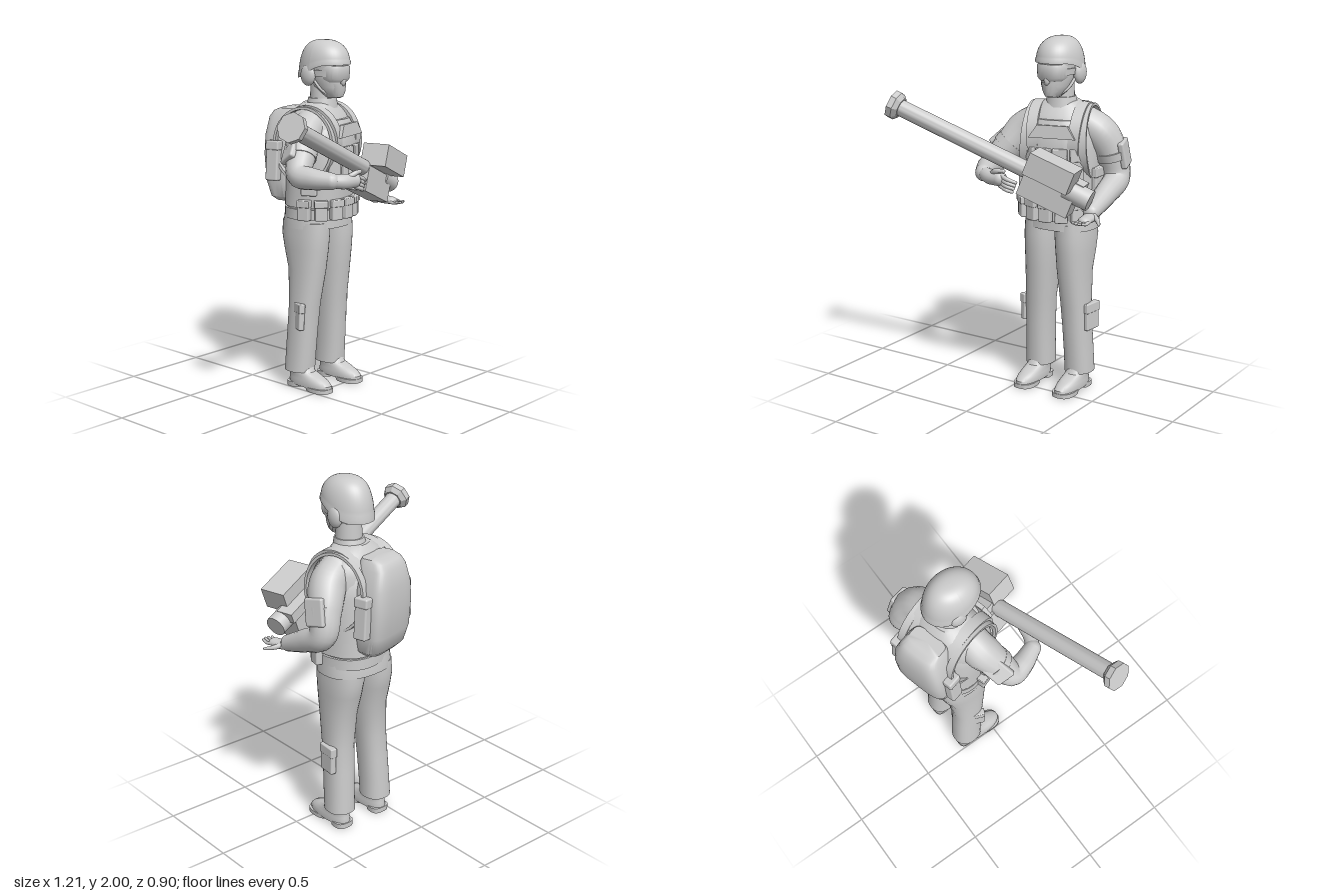
import * as THREE from 'three';
import { mergeGeometries, toCreasedNormals } from 'three/addons/utils/BufferGeometryUtils.js';
import { RoundedBoxGeometry } from 'three/addons/geometries/RoundedBoxGeometry.js';

const mat = new THREE.MeshStandardMaterial({ color: 0xcccccc, side: THREE.DoubleSide });
const V = (a) => new THREE.Vector3(...a);

function add(parent, name, geo, pos = [0, 0, 0], rot = [0, 0, 0]) {
  const m = new THREE.Mesh(geo, mat);
  m.name = name;
  m.position.set(...pos);
  m.rotation.set(...rot);
  parent.add(m);
  return m;
}

// Stack of horizontal superellipse rings [y, cx, cz, rx, rz], capped at both ends
function loft(rings, p = 2, n = 32) {
  const pos = [], idx = [];
  const pow = (v) => Math.sign(v) * Math.abs(v) ** (2 / p);
  for (const [y, cx, cz, rx, rz] of rings)
    for (let j = 0; j < n; j++) {
      const a = (j / n) * Math.PI * 2;
      pos.push(cx + rx * pow(Math.cos(a)), y, cz + rz * pow(Math.sin(a)));
    }
  const last = rings.length - 1, bottom = rings.length * n, top = bottom + 1;
  for (const [y, cx, cz] of [rings[0], rings[last]]) pos.push(cx, y, cz);
  for (let j = 0; j < n; j++) {
    const k = (j + 1) % n;
    for (let i = 0; i < last; i++) {
      const a = i * n + j, b = i * n + k, c = a + n, d = b + n;
      idx.push(a, c, b, c, d, b);
    }
    idx.push(bottom, j, k, top, last * n + k, last * n + j);
  }
  const g = new THREE.BufferGeometry();
  g.setAttribute('position', new THREE.Float32BufferAttribute(pos, 3));
  g.setIndex(idx);
  return toCreasedNormals(g, 0.7);
}

// Tapered tube through points, with round ends
function limb(points, radii, seg = 28, sides = 16) {
  const curve = new THREE.CatmullRomCurve3(points.map(V));
  const tube = new THREE.TubeGeometry(curve, seg, 1, sides);
  const at = tube.attributes.position, v = new THREE.Vector3();
  for (let i = 0; i <= seg; i++) {
    const c = curve.getPointAt(i / seg), f = (i / seg) * (radii.length - 1);
    const k = Math.min(Math.floor(f), radii.length - 2);
    const r = THREE.MathUtils.lerp(radii[k], radii[k + 1], f - k);
    for (let j = 0; j <= sides; j++) {
      const n = i * (sides + 1) + j;
      v.fromBufferAttribute(at, n).sub(c).multiplyScalar(r).add(c);
      at.setXYZ(n, v.x, v.y, v.z);
    }
  }
  const ball = (p, r) => new THREE.SphereGeometry(r, sides, 10).translate(...p);
  return mergeGeometries([tube, ball(points[0], radii[0]), ball(points.at(-1), radii.at(-1))]);
}

// Flat oval loop standing in the y-z plane
function loop(w, ry, rz, t) {
  const s = new THREE.Shape().absellipse(0, 0, rz, ry, 0, Math.PI * 2);
  s.holes.push(new THREE.Path().absellipse(0, 0, rz - t, ry - t, 0, Math.PI * 2));
  const g = new THREE.ExtrudeGeometry(s, { depth: w, bevelEnabled: false, curveSegments: 20 });
  return toCreasedNormals(g.translate(0, 0, -w / 2).rotateY(Math.PI / 2), 0.6);
}

function buildLegs(root) {
  for (const s of [-1, 1]) {
    const leg = new THREE.Group();
    leg.name = s > 0 ? 'leftLeg' : 'rightLeg';
    leg.position.x = 0.188;
    root.add(leg);
    add(leg, 'trouserLeg', loft([
      [0.1, 0.13, -0.165, 0.08, 0.087], [0.22, 0.127, -0.158, 0.078, 0.089],
      [0.35, 0.122, -0.15, 0.078, 0.09], [0.5, 0.116, -0.14, 0.081, 0.092],
      [0.7, 0.104, -0.135, 0.088, 0.116], [0.82, 0.101, -0.146, 0.096, 0.14],
      [0.9, 0.099, -0.152, 0.1, 0.152], [0.98, 0.096, -0.152, 0.098, 0.15],
    ].map(([y, x, ...r]) => [y, x * s + 0.008 * THREE.MathUtils.smoothstep(y, 0.4, 0.9), ...r]), 2.3));
    // boot: upper, sole and heel
    const x = s * 0.13;
    add(leg, 'bootUpper', loft([
      [0.02, x, -0.082, 0.06, 0.15], [0.04, x, -0.083, 0.062, 0.15],
      [0.06, x, -0.092, 0.059, 0.138], [0.08, x, -0.115, 0.056, 0.112],
      [0.1, x, -0.145, 0.056, 0.083], [0.15, x, -0.16, 0.056, 0.07]], 2.3));
    add(leg, 'bootSole', loft([[0, x, -0.01, 0.062, 0.08], [0.025, x, -0.015, 0.063, 0.085]], 2.6));
    add(leg, 'bootHeel', loft([[0, x, -0.185, 0.054, 0.05], [0.03, x, -0.185, 0.056, 0.051]], 3));
    // shin pocket with flap
    const turn = s > 0 ? -0.1 : -0.4, z = s > 0 ? -0.16 : -0.13, px = s > 0 ? 0.202 : -0.182;
    add(leg, 'legPocket', new RoundedBoxGeometry(0.035, 0.15, 0.11, 2, 0.008), [px, 0.435, z], [0, turn, s * 0.03]);
    add(leg, 'legPocketFlap', new RoundedBoxGeometry(0.04, 0.055, 0.118, 2, 0.006), [px, 0.488, z], [0, turn, s * 0.03]);
  }
  add(root, 'jacketHem', loft([[0.945, 0.203, -0.155, 0.207, 0.167], [0.98, 0.203, -0.155, 0.206, 0.166], [1.04, 0.203, -0.152, 0.2, 0.162]], 2.4));
}

function buildTorso(root) {
  const t = new THREE.Group();
  t.name = 'torso';
  t.position.set(0.205, 0, -0.13);
  t.rotation.y = 0.26;
  root.add(t);
  add(t, 'jacket', loft([
    [1.0, 0, -0.025, 0.196, 0.162], [1.15, 0, -0.02, 0.19, 0.158],
    [1.3, 0, -0.01, 0.2, 0.168], [1.42, 0, -0.01, 0.21, 0.172], [1.52, 0, -0.015, 0.208, 0.16],
    [1.58, 0, -0.02, 0.185, 0.14], [1.62, 0, -0.02, 0.14, 0.11], [1.65, 0, -0.015, 0.09, 0.085]], 2.4));
  add(t, 'vest', loft([
    [1.07, 0, -0.015, 0.208, 0.178], [1.2, 0, -0.01, 0.208, 0.178], [1.4, 0, -0.005, 0.216, 0.188],
    [1.5, 0, -0.005, 0.195, 0.18], [1.56, 0, -0.01, 0.15, 0.16]], 2.5));
  add(t, 'belt', loft([[1.0, 0, -0.02, 0.208, 0.175], [1.06, 0, -0.02, 0.208, 0.175]], 2.4));
  add(t, 'collar', loft([[1.62, 0, 0, 0.092, 0.092], [1.675, 0, 0.005, 0.078, 0.08]]));
  for (const s of [-1, 1]) {
    add(t, 'vestStrap', loop(0.06, 0.2, 0.185, 0.018), [s * 0.115, 1.445, -0.01], [0, 0, -s * 0.06]);
    add(t, 'packStrap', loop(0.042, 0.215, 0.19, 0.015), [s * 0.165, 1.42, -0.025], [0, 0, s * 0.05]);
  }
  // chest flap
  const flap = new THREE.Shape([[-0.13, -0.035], [0.13, -0.035], [0.085, 0.035], [-0.085, 0.035]]
    .map(([x, y]) => new THREE.Vector2(x, y)));
  add(t, 'chestFlap', new THREE.ExtrudeGeometry(flap, { depth: 0.025, bevelEnabled: false }), [0, 1.5, 0.163], [-0.12, 0, 0]);
  // pouches around the front and sides
  const pouch = (name, a, y, w, h, d) => {
    const g = new THREE.Group();
    g.name = name;
    g.position.set(Math.sin(a) * 0.222, y, Math.cos(a) * 0.19 - 0.01);
    g.rotation.y = a;
    t.add(g);
    add(g, 'pouchBody', new RoundedBoxGeometry(w, h, d, 2, 0.008));
    add(g, 'pouchFlap', new RoundedBoxGeometry(w + 0.008, h * 0.35, d + 0.012, 2, 0.006), [0, h * 0.34, 0]);
  };
  for (const a of [-1.5, -1, -0.55, -0.15, 0.25, 0.65, 1.1]) pouch('beltPouch', a, 1.06, 0.07, 0.115, 0.045);
  for (const a of [-0.62, -0.2, 0.2, 0.62]) pouch('chestPouch', a, 1.31, 0.075, 0.2, 0.035);
  for (const a of [-1.35, 1.35]) pouch('sidePouch', a, 1.22, 0.09, 0.15, 0.03);
  // backpack
  add(t, 'backpack', loft([
    [1.085, 0, -0.185, 0.12, 0.06], [1.11, 0, -0.195, 0.15, 0.075], [1.2, 0, -0.208, 0.166, 0.088],
    [1.35, 0, -0.213, 0.166, 0.097], [1.46, 0, -0.213, 0.155, 0.095], [1.56, 0, -0.205, 0.125, 0.088],
    [1.595, 0, -0.195, 0.11, 0.075], [1.612, 0, -0.18, 0.1, 0.05]], 4, 40));
  for (const s of [-1, 1]) {
    add(t, 'packSidePouch', new RoundedBoxGeometry(0.055, 0.22, 0.075, 2, 0.01), [s * 0.185, 1.32, -0.21], [0, 0, s * 0.08]);
    add(t, 'packPouchFlap', new RoundedBoxGeometry(0.062, 0.055, 0.083, 2, 0.01), [s * 0.178, 1.41, -0.21], [0, 0, s * 0.08]);
  }
}

function buildHead(root) {
  const h = new THREE.Group();
  h.name = 'head';
  h.position.x = 0.207;
  root.add(h);
  add(h, 'neck', new THREE.CylinderGeometry(0.068, 0.074, 0.16, 24), [0, 1.68, -0.125]);
  add(h, 'face', loft([
    [1.68, 0, -0.045, 0.035, 0.05], [1.7, 0, -0.055, 0.055, 0.075], [1.74, 0, -0.075, 0.078, 0.1],
    [1.8, 0, -0.095, 0.092, 0.122], [1.88, 0, -0.105, 0.1, 0.135]]));
  add(h, 'nose', new THREE.SphereGeometry(0.02, 14, 10).scale(0.9, 1.5, 1), [0, 1.775, 0.024]);
  add(h, 'faceMask', loft([[1.685, 0, -0.03, 0.035, 0.05], [1.715, 0, -0.03, 0.052, 0.06], [1.76, 0, -0.03, 0.06, 0.062]]));
  add(h, 'goggles', loft([
    [1.77, 0, -0.045, 0.07, 0.076], [1.787, 0, -0.045, 0.083, 0.088],
    [1.845, 0, -0.045, 0.087, 0.09], [1.86, 0, -0.045, 0.08, 0.085]], 2.4));
  add(h, 'goggleStrap', loft([[1.8, 0, -0.105, 0.103, 0.135], [1.835, 0, -0.105, 0.106, 0.138]]));
  for (const s of [-1, 1]) {
    add(h, 'earCup', new THREE.SphereGeometry(1, 20, 14).scale(0.03, 0.06, 0.05), [s * 0.105, 1.805, -0.14]);
    add(h, 'chinStrap', limb([[s * 0.1, 1.79, -0.11], [s * 0.078, 1.73, -0.07], [s * 0.03, 1.685, -0.035]], [0.008, 0.008], 10, 8));
  }
  // helmet shell: full dome dropping toward the nape, with a flared rim
  const dome = new THREE.SphereGeometry(1, 40, 20, 0, Math.PI * 2, 0, Math.PI / 2);
  const p = dome.attributes.position;
  for (let i = 0; i < p.count; i++) {
    const x = p.getX(i), y = p.getY(i), z = p.getZ(i);
    const full = (y < 0.09 ? 1.025 : 1) * Math.max(Math.hypot(x, z), 0.001) ** -0.2;
    const back = THREE.MathUtils.smoothstep(-z, -0.7, 0.9);
    p.setXYZ(i, x * 0.124 * full, 1.865 + y ** 0.9 * 0.135 - 0.085 * back * (1 - y) ** 1.5, z * 0.16 * full - 0.113);
  }
  dome.computeVertexNormals();
  add(h, 'helmet', dome);
}

function buildArms(root) {
  const specs = [
    { name: 'leftArm', path: [[0.33, 1.53, -0.17], [0.405, 1.48, -0.195], [0.46, 1.36, -0.24], [0.487, 1.23, -0.25], [0.493, 1.16, -0.12], [0.495, 1.095, 0.03]],
      band: [[0.46, 1.41, -0.22], [0.475, 1.31, -0.243]], out: [1, 0.15, -0.25] },
    { name: 'rightArm', path: [[0.08, 1.53, -0.1], [0.005, 1.48, -0.08], [-0.08, 1.375, -0.025], [-0.143, 1.288, 0.02], [-0.128, 1.275, 0.1], [-0.085, 1.268, 0.2]],
      band: [[-0.04, 1.425, -0.055], [-0.105, 1.34, -0.01]], out: [-0.75, 0.5, -0.45] },
  ];
  for (const { name, path, band, out } of specs) {
    const arm = new THREE.Group();
    arm.name = name;
    root.add(arm);
    add(arm, 'sleeve', limb(path, [0.095, 0.1, 0.083, 0.071, 0.061, 0.047], 36));
    // strap and pad on the upper arm
    const [a, b] = band.map(V), mid = a.clone().lerp(b, 0.5), axis = b.clone().sub(a).normalize();
    const cuff = add(arm, 'armBand', new THREE.CylinderGeometry(0.09, 0.087, 0.045, 24), mid.toArray());
    cuff.quaternion.setFromUnitVectors(new THREE.Vector3(0, -1, 0), axis);
    const dir = V(out).normalize(), pad = add(arm, 'armPad', new RoundedBoxGeometry(0.115, 0.15, 0.035, 2, 0.012));
    pad.position.copy(mid).addScaledVector(dir, 0.07);
    pad.up.copy(axis).negate();
    pad.lookAt(pad.position.clone().add(dir));
  }
  // open left hand, palm up
  const lh = new THREE.Group(), rh = new THREE.Group();
  lh.name = 'leftHand';
  rh.name = 'rightHand';
  root.add(lh, rh);
  add(lh, 'palm', limb([[0.497, 1.09, 0.03], [0.508, 1.075, 0.07], [0.514, 1.07, 0.13]], [0.034, 0.04, 0.036]).translate(0, -1.075, 0).scale(1, 0.6, 1).translate(0, 1.075, 0));
  for (let i = 0; i < 4; i++)
    add(lh, 'finger', limb([[0.49 + i * 0.017, 1.07, 0.13], [0.487 + i * 0.019, 1.063, 0.17], [0.483 + i * 0.02, 1.07, 0.2 + (i % 3 ? 0.01 : 0)]], [0.011, 0.009, 0.007], 8, 8));
  add(lh, 'thumb', limb([[0.53, 1.08, 0.06], [0.565, 1.068, 0.085], [0.594, 1.058, 0.12]], [0.017, 0.013, 0.008], 10, 8));
  // right hand supporting the tube
  add(rh, 'palm', limb([[-0.085, 1.268, 0.2], [-0.02, 1.262, 0.235], [0.05, 1.26, 0.245]], [0.037, 0.042, 0.04]));
  for (let i = 0; i < 4; i++)
    add(rh, 'finger', limb([[0.06, 1.285 - i * 0.02, 0.253], [0.105, 1.268 - i * 0.02, 0.26], [0.15 - i * 0.008, 1.25 - i * 0.018, 0.24]], [0.013, 0.012, 0.009], 8, 8));
  add(rh, 'thumb', limb([[0.0, 1.28, 0.245], [0.04, 1.305, 0.265], [0.085, 1.308, 0.26]], [0.018, 0.015, 0.011], 10, 8));
}

function buildLauncher(root) {
  const g = new THREE.Group();
  g.name = 'launcher';
  g.position.set(-0.02, 1.3975, 0.235);
  g.rotation.set(0, 0.236, -0.377, 'YZX');
  root.add(g);
  // round section running along the launcher from x0 to x1, radius r0 to r1
  const tube = (name, x0, x1, r0, r1 = r0, sides = 28) =>
    add(g, name, toCreasedNormals(new THREE.CylinderGeometry(r1, r0, x1 - x0, sides).rotateZ(-Math.PI / 2), 0.5), [(x0 + x1) / 2, 0, 0]);
  tube('launchTube', -0.6, 0.5, 0.046);
  tube('muzzleFlange', -0.613, -0.58, 0.08, 0.08, 8);
  tube('muzzleCollar', -0.58, -0.555, 0.08, 0.056, 8);
  tube('rearCap', 0.46, 0.608, 0.058);
  const box = (name, size, pos) => add(g, name, new THREE.BoxGeometry(...size), pos);
  box('sightBox', [0.26, 0.125, 0.155], [0.372, 0.078, 0.058]);
  box('gripBox', [0.3, 0.145, 0.125], [0.38, -0.06, -0.015]);
  box('sightRail', [0.3, 0.06, 0.1], [0.4, 0.03, -0.035]);
}

export function createModel() {
  const root = new THREE.Group();
  root.name = 'soldierWithLauncher';
  for (const build of [buildLegs, buildTorso, buildHead, buildArms, buildLauncher]) build(root);
  return root;
}
